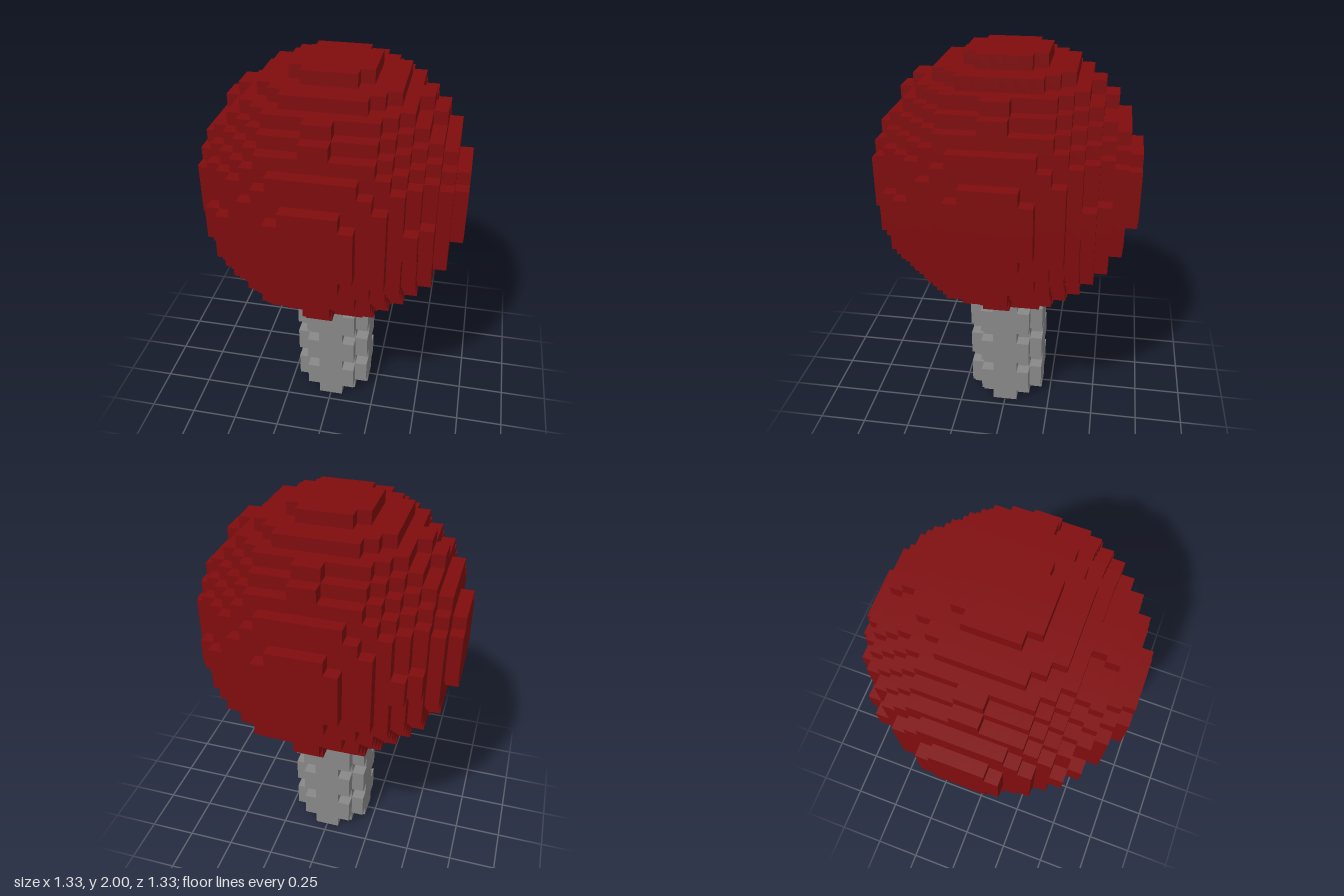
import * as THREE from 'three';

const CELL = 2 / 30;   // one cube of the 20 x 30 x 20 grid
const STEM_ROWS = 11;  // rows of cubes in the stem
const BALL_MID = 20;   // grid height of the ball centre

const red = new THREE.MeshStandardMaterial({ color: 0x7f0c0e });
red.name = 'dark red';
const grey = new THREE.MeshStandardMaterial({ color: 0x888888 });
grey.name = 'grey';

// Stem: a round column, slightly thinner on every third row
function inStem(i, j, k) {
  if (j < 0 || j >= STEM_ROWS) return false;
  const limit = j % 3 === 0 ? 7 : 9;
  return (i + 0.5) ** 2 + (k + 0.5) ** 2 < limit;
}

// Ball: every cube whose centre lies within ten cells of the middle
function inBall(i, j, k) {
  if (inStem(i, j, k)) return false;
  return (i + 0.5) ** 2 + (j + 0.5 - BALL_MID) ** 2 + (k + 0.5) ** 2 < 100;
}

const filled = (i, j, k) => inStem(i, j, k) || inBall(i, j, k);

// Builds the outer skin of a set of cubes, leaving out all touching faces
function cubeSkin(name, inside, material) {
  const positions = [], normals = [], indices = [];
  const addFace = (cell, axis, side) => {
    const u = (axis + 1) % 3, v = (axis + 2) % 3;
    const first = positions.length / 3;
    for (const [a, b] of [[0, 0], [1, 0], [1, 1], [0, 1]]) {
      const p = [...cell], n = [0, 0, 0];
      p[axis] += side > 0 ? 1 : 0;
      p[u] += a;
      p[v] += b;
      n[axis] = side;
      positions.push(...p.map((c) => c * CELL));
      normals.push(...n);
    }
    const order = side > 0 ? [0, 1, 2, 0, 2, 3] : [0, 2, 1, 0, 3, 2];
    indices.push(...order.map((o) => first + o));
  };

  for (let i = -10; i < 10; i++)
    for (let j = 0; j < 30; j++)
      for (let k = -10; k < 10; k++) {
        if (!inside(i, j, k)) continue;
        for (let axis = 0; axis < 3; axis++)
          for (const side of [-1, 1]) {
            const next = [i, j, k];
            next[axis] += side;
            if (!filled(...next)) addFace([i, j, k], axis, side);
          }
      }

  const geometry = new THREE.BufferGeometry();
  geometry.setAttribute('position', new THREE.Float32BufferAttribute(positions, 3));
  geometry.setAttribute('normal', new THREE.Float32BufferAttribute(normals, 3));
  geometry.setIndex(indices);
  const mesh = new THREE.Mesh(geometry, material);
  mesh.name = name;
  return mesh;
}

export function createModel() {
  const group = new THREE.Group();
  group.name = 'ballOnStem';
  group.add(cubeSkin('stem', inStem, grey), cubeSkin('ball', inBall, red));
  return group;
}
